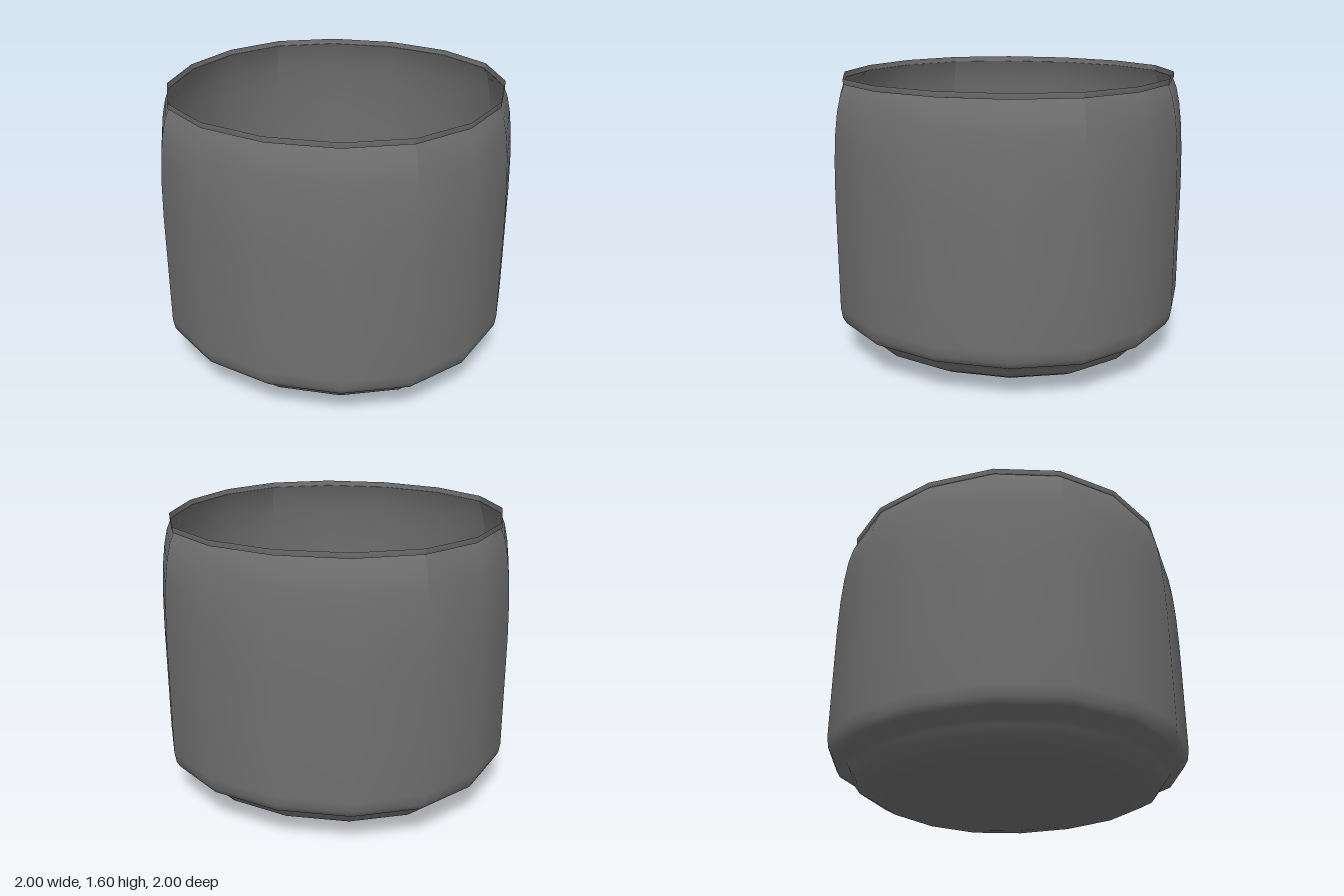
import * as THREE from 'three';
import { mergeGeometries } from 'three/addons/utils/BufferGeometryUtils.js';

const STEPS = 4; // sides per quarter turn, 16 in all

// One quarter of the thin shell, from diagonal to diagonal
function quarterShell(profile, start) {
  const points = profile.map(([r, y]) => new THREE.Vector2(r, y));
  const geometry = new THREE.LatheGeometry(points, STEPS, start, Math.PI / 2);
  const { position, normal } = geometry.attributes;
  const up = new THREE.Vector3(0, 1, 0);
  const n = new THREE.Vector3();
  for (let i = 0; i < position.count; i++) {
    const column = Math.floor(i / points.length);
    const angle = start + (column / STEPS) * (Math.PI / 2);
    const y = position.getY(i);

    // Slightly squared section: wider on the diagonals, corners drawn towards them
    const square = Math.sin(2 * angle) ** 2;
    const radius = points[i % points.length].x * (1 + 0.024 * square + 0.008 * square ** 2);
    const turned = angle + 0.014 * Math.sin(4 * angle);
    position.setXYZ(i, Math.sin(turned) * radius, y, Math.cos(turned) * radius);

    // Crease on the diagonals that fades out below the neck
    const side = column === 0 ? 1 : column === STEPS ? -1 : 0;
    const crease = side * 0.25 * THREE.MathUtils.smoothstep(y, 1.3, 1.5);
    n.fromBufferAttribute(normal, i).applyAxisAngle(up, crease);
    normal.setXYZ(i, n.x, n.y, n.z);
  }
  return geometry;
}

export function createModel() {
  const group = new THREE.Group();
  group.name = 'pot';
  const material = new THREE.MeshStandardMaterial({ color: 0x707070, side: THREE.DoubleSide });
  const add = (name, profile) => {
    const quarters = [0, 1, 2, 3].map((q) => quarterShell(profile, Math.PI / 4 + (q * Math.PI) / 2));
    const mesh = new THREE.Mesh(mergeGeometries(quarters), material);
    mesh.name = name;
    group.add(mesh);
  };

  // Open single-walled body: shallow domed base, stepped foot, wall, drawn-in neck
  add('body', [
    [0, 0.005], [0.2, 0.008], [0.4, 0.015], [0.6, 0.03], [0.77, 0.06], [0.845, 0.1],
    [0.875, 0.14], [0.89, 0.165], [0.93, 0.185], [0.97, 0.205], [0.99, 0.24], [1, 0.3],
    [1, 0.6], [1, 0.95], [0.995, 1.15], [0.985, 1.3], [0.97, 1.42], [0.95, 1.51], [0.925, 1.57],
  ]);

  // Thin upright lip with a small overhang around the mouth
  add('lip', [[0.925, 1.57], [0.932, 1.57], [0.932, 1.6]]);

  return group;
}
